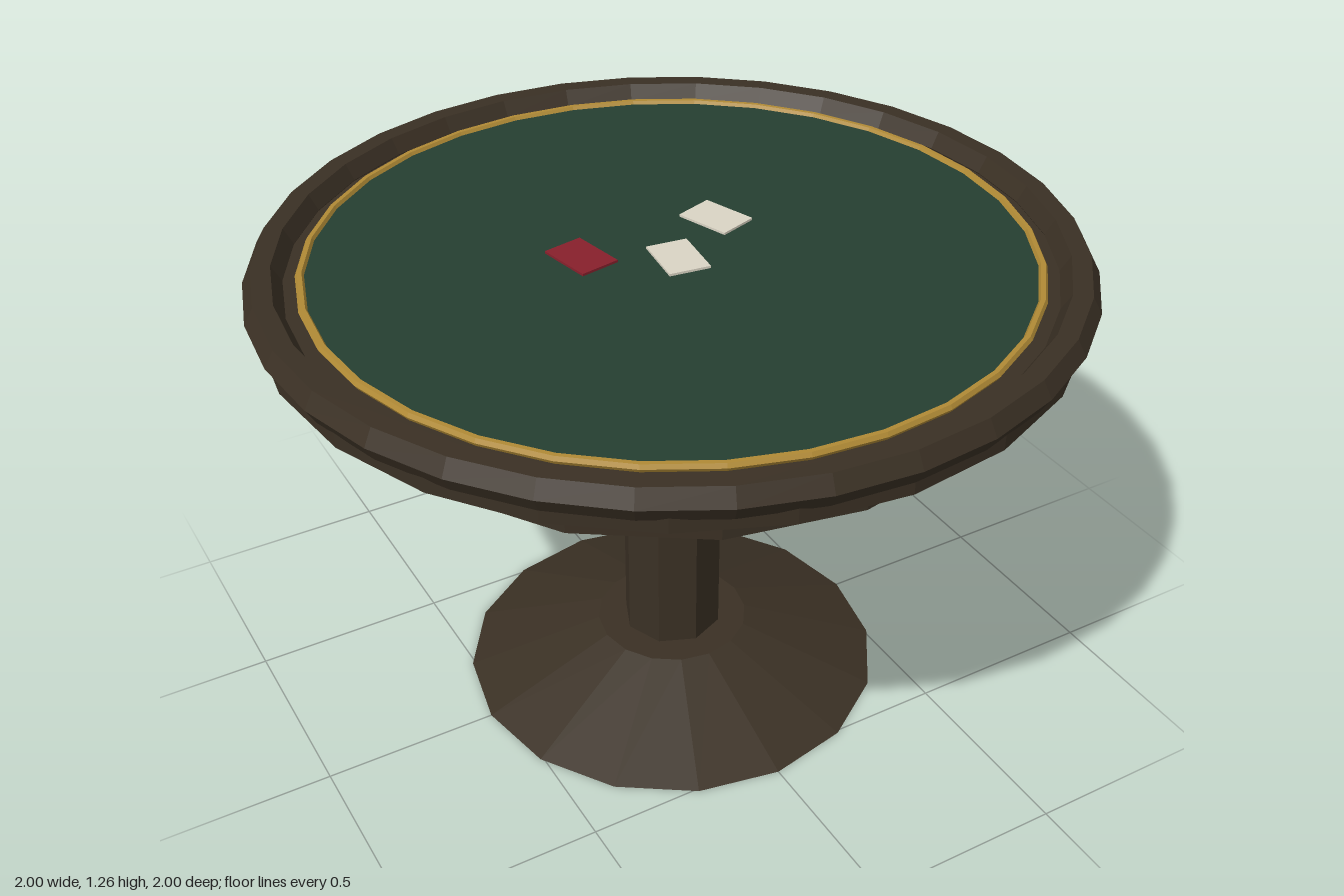
import * as THREE from 'three';

const material = (name, color) => {
  const m = new THREE.MeshStandardMaterial({ color, flatShading: true });
  m.name = name;
  return m;
};

export function createModel() {
  const group = new THREE.Group();
  const wood = material('darkWood', 0x3a3024);
  const felt = material('greenFelt', 0x253f31);
  const gold = material('goldTrim', 0xb08a35);
  const ivory = material('ivoryCard', 0xdad4c4);
  const red = material('redCardBack', 0x87202c);

  const add = (name, geometry, mat, y) => {
    const mesh = new THREE.Mesh(geometry, mat);
    mesh.name = name;
    mesh.position.y = y;
    group.add(mesh);
    return mesh;
  };
  // Upright prism or cone section between two heights
  const drum = (name, rTop, rBottom, y0, y1, sides, mat) =>
    add(name, new THREE.CylinderGeometry(rTop, rBottom, y1 - y0, sides), mat, (y0 + y1) / 2);
  // Horizontal ring
  const ring = (name, radius, tube, y, mat) =>
    add(name, new THREE.TorusGeometry(radius, tube, 6, 32).rotateX(-Math.PI / 2), mat, y);

  // Pedestal
  drum('base', 0.2, 0.55, 0, 0.13, 16, wood);
  drum('column', 0.13, 0.13, 0.13, 1.03, 8, wood);

  // Table top
  drum('apron', 0.83, 0.83, 1.02, 1.16, 16, wood);
  drum('tableTop', 0.977, 0.977, 1.155, 1.222, 24, wood);
  ring('rim', 0.954, 0.046, 1.225, wood);
  drum('feltSurface', 0.868, 0.868, 1.215, 1.236, 32, felt);
  ring('goldTrim', 0.868, 0.011, 1.235, gold);

  // Playing cards: x, z, turn, material
  [
    ['faceDownCard', -0.197, -0.085, 0.19, red],
    ['centreCard', 0, 0.03, -0.12, ivory],
    ['rightCard', 0.18, -0.1, 0.33, ivory],
  ].forEach(([name, x, z, turn, mat]) => {
    const card = add(name, new THREE.BoxGeometry(0.104, 0.006, 0.145), mat, 1.239);
    card.position.x = x;
    card.position.z = z;
    card.rotation.y = turn;
  });

  return group;
}
